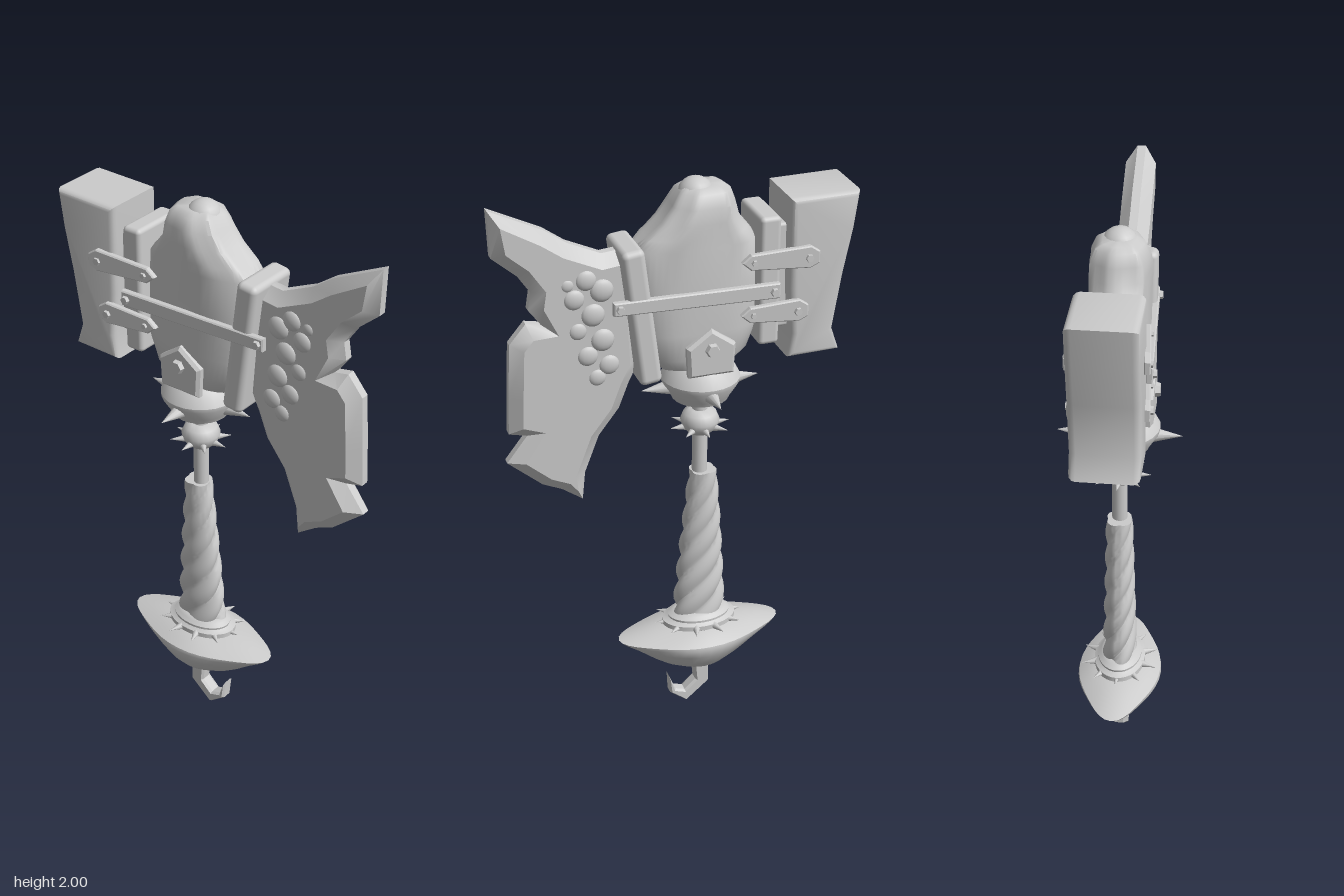
import * as THREE from 'three';
import { toCreasedNormals } from 'three/addons/utils/BufferGeometryUtils.js';
import { RoundedBoxGeometry } from 'three/addons/geometries/RoundedBoxGeometry.js';

const AXIS = -0.095; // z of the shaft
const mat = new THREE.MeshStandardMaterial({ color: 0xcccccc });

function add(parent, name, geo, x = 0, y = 0, z = 0) {
  const mesh = new THREE.Mesh(geo, mat);
  mesh.name = name;
  mesh.position.set(x, y, z);
  parent.add(mesh);
  return mesh;
}

// Stack of oval sections [y, zBack, zFront, halfX]; bump scales the radius
function loft(levels, n, { power = 1, bump = () => 1, crease = 0.7 } = {}) {
  const pos = [], idx = [];
  const first = levels[0], last = levels[levels.length - 1];
  const end = ([y, b, f]) => [y, (b + f) / 2, (b + f) / 2, 0];
  const rings = [end(first), ...levels, end(last)];
  const curve = (v) => Math.sign(v) * Math.abs(v) ** power;
  rings.forEach(([y, b, f, hx], j) => {
    for (let i = 0; i < n; i++) {
      const a = (i / n) * Math.PI * 2, k = bump(a, y);
      pos.push(curve(Math.sin(a)) * hx * k, y, (b + f) / 2 + curve(Math.cos(a)) * (f - b) / 2 * k);
      if (j === rings.length - 1) continue;
      const p = j * n + i, q = j * n + (i + 1) % n;
      if (j > 0) idx.push(p, q, q + n, p, q + n, p + n);
      else idx.push(p, q + n, p + n);
    }
  });
  const geo = new THREE.BufferGeometry();
  geo.setAttribute('position', new THREE.Float32BufferAttribute(pos, 3));
  geo.setIndex(idx);
  return toCreasedNormals(geo, crease);
}

// Outline of [z, y] points, given thickness along x with a bevel
function plate(points, width, bevel, inset = bevel, segments = 1, crease = 0.5) {
  const shape = new THREE.Shape(points.map(([z, y]) => new THREE.Vector2(z, y)));
  const depth = width - 2 * bevel;
  const geo = new THREE.ExtrudeGeometry(shape, {
    depth, bevelThickness: bevel, bevelSize: inset, bevelOffset: -inset, bevelSegments: segments,
  });
  geo.translate(0, 0, -depth / 2).rotateY(-Math.PI / 2);
  return toCreasedNormals(geo, crease);
}

// Lean a plate in x along z, around zMid
function lean(geo, slope, zMid) {
  const p = geo.attributes.position;
  for (let i = 0; i < p.count; i++) p.setX(i, p.getX(i) + slope * (p.getZ(i) - zMid));
  geo.computeVertexNormals();
  return geo;
}

// Radial cones on an oval ring
function spikes(parent, name, count, y, rx, rz, length, radius) {
  for (let i = 0; i < count; i++) {
    const a = (i / count) * Math.PI * 2;
    const dir = new THREE.Vector3(Math.sin(a), 0, Math.cos(a));
    const cone = add(parent, name, new THREE.ConeGeometry(radius, length, 10),
      dir.x * (rx + length / 2), y, AXIS + dir.z * (rz + length / 2));
    cone.quaternion.setFromUnitVectors(new THREE.Vector3(0, 1, 0), dir);
  }
}

function bolt(parent, side, x, y, z, r = 0.016) {
  const geo = new THREE.CylinderGeometry(r * 0.8, r, 0.02, 6);
  add(parent, 'bolt', toCreasedNormals(geo, 0.5), side * x, y, z).rotation.z = -side * Math.PI / 2;
}

// Lathe around the shaft from [radius, y] points
function turned(parent, name, points, crease = 0.6) {
  const geo = new THREE.LatheGeometry(points.map(([r, y]) => new THREE.Vector2(r, y)), 24);
  add(parent, name, toCreasedNormals(geo, crease), 0, 0, AXIS);
}

function buildHandle() {
  const g = new THREE.Group();
  g.name = 'handle';
  add(g, 'hook', plate([[-0.07, 0.2], [-0.13, 0.2], [-0.13, 0.075], [-0.045, 0.003], [0.015, 0.05],
    [0.018, 0.12], [-0.005, 0.062], [-0.04, 0.05], [-0.08, 0.088]].reverse(), 0.05, 0.01, 0.006));

  // Boat-shaped pommel with pointed ends
  const boat = [[0.16, 0.08, 0.045], [0.185, 0.13, 0.08], [0.22, 0.18, 0.11], [0.26, 0.23, 0.132],
    [0.295, 0.28, 0.145], [0.308, 0.295, 0.142], [0.325, 0.22, 0.115], [0.345, 0.1, 0.07]];
  add(g, 'pommel', loft(boat.map(([y, rz, rx]) => [y, AXIS - rz, AXIS + rz, rx]), 40,
    { bump: (a) => 1 - 0.1 * Math.sin(2 * a) ** 2 }));

  // Collar of two stacked rolls
  const collar = [[0.335, 0.11, 0.075], [0.345, 0.132, 0.088], [0.362, 0.132, 0.088], [0.37, 0.11, 0.075],
    [0.378, 0.112, 0.075], [0.388, 0.1, 0.065], [0.395, 0.08, 0.055]];
  add(g, 'collar', loft(collar.map(([y, rz, rx]) => [y, AXIS - rz, AXIS + rz, rx]), 32));
  spikes(g, 'collarSpike', 10, 0.353, 0.08, 0.105, 0.055, 0.014);

  // Spirally wrapped grip, narrowing upward
  const grip = [];
  for (let i = 0; i <= 56; i++) {
    const t = i / 56, rz = 0.092 - 0.045 * t ** 1.3, z = AXIS - 0.012 * t;
    grip.push([0.38 + 0.57 * t, z - rz, z + rz, 0.058 - 0.014 * t]);
  }
  add(g, 'wrappedGrip', loft(grip, 40,
    { bump: (a, y) => 0.84 + 0.2 * Math.abs(Math.sin(2 * a - 30 * y)), crease: 0.9 }));
  add(g, 'shaft', new THREE.CylinderGeometry(0.026, 0.026, 0.4, 16), 0, 1.08, AXIS);

  turned(g, 'smallRing', [[0, 1.1], [0.04, 1.1], [0.058, 1.12], [0.066, 1.145], [0.055, 1.172], [0.035, 1.185], [0, 1.185]], 0.9);
  spikes(g, 'smallSpike', 8, 1.123, 0.05, 0.05, 0.055, 0.013);
  turned(g, 'socket', [[0, 1.235], [0.095, 1.235], [0.102, 1.25], [0.13, 1.295], [0.132, 1.31], [0.105, 1.36], [0.09, 1.37], [0, 1.375]]);
  spikes(g, 'socketSpike', 4, 1.28, 0.105, 0.105, 0.1, 0.026);
  return g;
}

function buildBlade() {
  const g = new THREE.Group();
  g.name = 'axeBlade';
  const outline = [[0.14, 1.8], [0.24, 1.79], [0.35, 1.84], [0.42, 1.89], [0.595, 1.975], [0.59, 1.82],
    [0.51, 1.75], [0.47, 1.69], [0.48, 1.63], [0.44, 1.575], [0.49, 1.585], [0.545, 1.52], [0.555, 1.34],
    [0.56, 1.205], [0.5, 1.19], [0.57, 1.1], [0.455, 1.0], [0.39, 0.97], [0.32, 0.92], [0.31, 1.02],
    [0.26, 1.15], [0.19, 1.24], [0.155, 1.33], [0.12, 1.4]];
  add(g, 'blade', plate(outline.reverse(), 0.1, 0.036, 0.04, 1, 0.6));
  // Raised lumps on the cheeks
  const lumps = [[0.3, 1.72, 0.035], [0.25, 1.68, 0.04], [0.34, 1.66, 0.035], [0.28, 1.6, 0.04], [0.33, 1.55, 0.03],
    [0.25, 1.51, 0.04], [0.3, 1.46, 0.035], [0.23, 1.42, 0.035], [0.27, 1.38, 0.03], [0.36, 1.71, 0.022]];
  for (const s of [1, -1]) for (const [z, y, r] of lumps) {
    add(g, 'lump', new THREE.SphereGeometry(r, 14, 10), s * 0.045, y, z).scale.x = 0.5;
  }
  return g;
}

function buildHead() {
  const g = new THREE.Group();
  g.name = 'head';
  // Rough stone core with a ragged crown
  const core = [[1.365, -0.2, 0.05, 0.07], [1.41, -0.25, 0.1, 0.09], [1.5, -0.28, 0.12, 0.096],
    [1.66, -0.28, 0.14, 0.096], [1.79, -0.275, 0.14, 0.096], [1.825, -0.25, 0.11, 0.1], [1.87, -0.215, 0.055, 0.1],
    [1.92, -0.2, 0.015, 0.096], [1.96, -0.185, -0.01, 0.078], [1.975, -0.165, -0.03, 0.055]];
  add(g, 'stoneCore', loft(core, 44, {
    power: 0.75, crease: 0.8,
    bump: (a, y) => 1 - (y > 1.8 ? 0.09 : 0.03) * Math.abs(Math.sin(3.5 * a + 2 * Math.sin(4 * y))),
  }));
  add(g, 'crownCap', new THREE.SphereGeometry(0.06, 18, 12), 0, 1.94, -0.075);

  // Bands clamping the core
  const front = add(g, 'frontBand', new RoundedBoxGeometry(0.196, 0.47, 0.075, 3, 0.02), 0, 1.58, 0.13);
  front.rotation.x = 0.125;
  add(g, 'backBand', new RoundedBoxGeometry(0.196, 0.44, 0.07, 3, 0.015), 0, 1.65, -0.295);
  add(g, 'hammerNeck', new RoundedBoxGeometry(0.12, 0.36, 0.08, 2, 0.01), 0, 1.65, -0.34);

  // Hammer face: a tapered block with a flared foot
  add(g, 'hammerBlock', plate([[-0.358, 1.925], [-0.592, 1.928], [-0.575, 1.8], [-0.545, 1.65], [-0.515, 1.46],
    [-0.542, 1.38], [-0.36, 1.376], [-0.372, 1.46], [-0.36, 1.62]], 0.22, 0.022, 0.018, 3, 0.7));

  // Straps, badge and bolts on both cheeks
  const arrow = (y, tail) => [[-0.195, y], [-0.225, y + 0.026], [tail + 0.03, y + 0.04], [tail, y + 0.02],
    [tail, y - 0.02], [tail + 0.03, y - 0.035], [-0.225, y - 0.026]];
  for (const s of [1, -1]) {
    const bar = plate([[0.225, 1.605], [0.225, 1.65], [-0.32, 1.655], [-0.32, 1.603]], 0.024, 0.004);
    add(g, 'longStrap', lean(bar, -s * 0.05, -0.05), s * 0.1);
    bolt(g, s, 0.1, 1.628, 0.205);
    bolt(g, s, 0.126, 1.628, -0.3);
    for (const [y, tail] of [[1.73, -0.45], [1.548, -0.418]]) {
      add(g, 'arrowStrap', lean(plate(arrow(y, tail), 0.022, 0.004), -s * 0.09, -0.32), s * 0.108);
      bolt(g, s, 0.109, y, -0.235, 0.012);
      bolt(g, s, 0.124, y, tail + 0.035);
    }
    add(g, 'badge', plate([[-0.018, 1.355], [-0.012, 1.46], [-0.095, 1.52], [-0.178, 1.46], [-0.172, 1.355]],
      0.036, 0.01), s * 0.096);
    bolt(g, s, 0.12, 1.45, AXIS, 0.026);
  }
  return g;
}

export function createModel() {
  const model = new THREE.Group();
  model.name = 'battleAxe';
  model.add(buildHandle(), buildBlade(), buildHead());
  return model;
}
